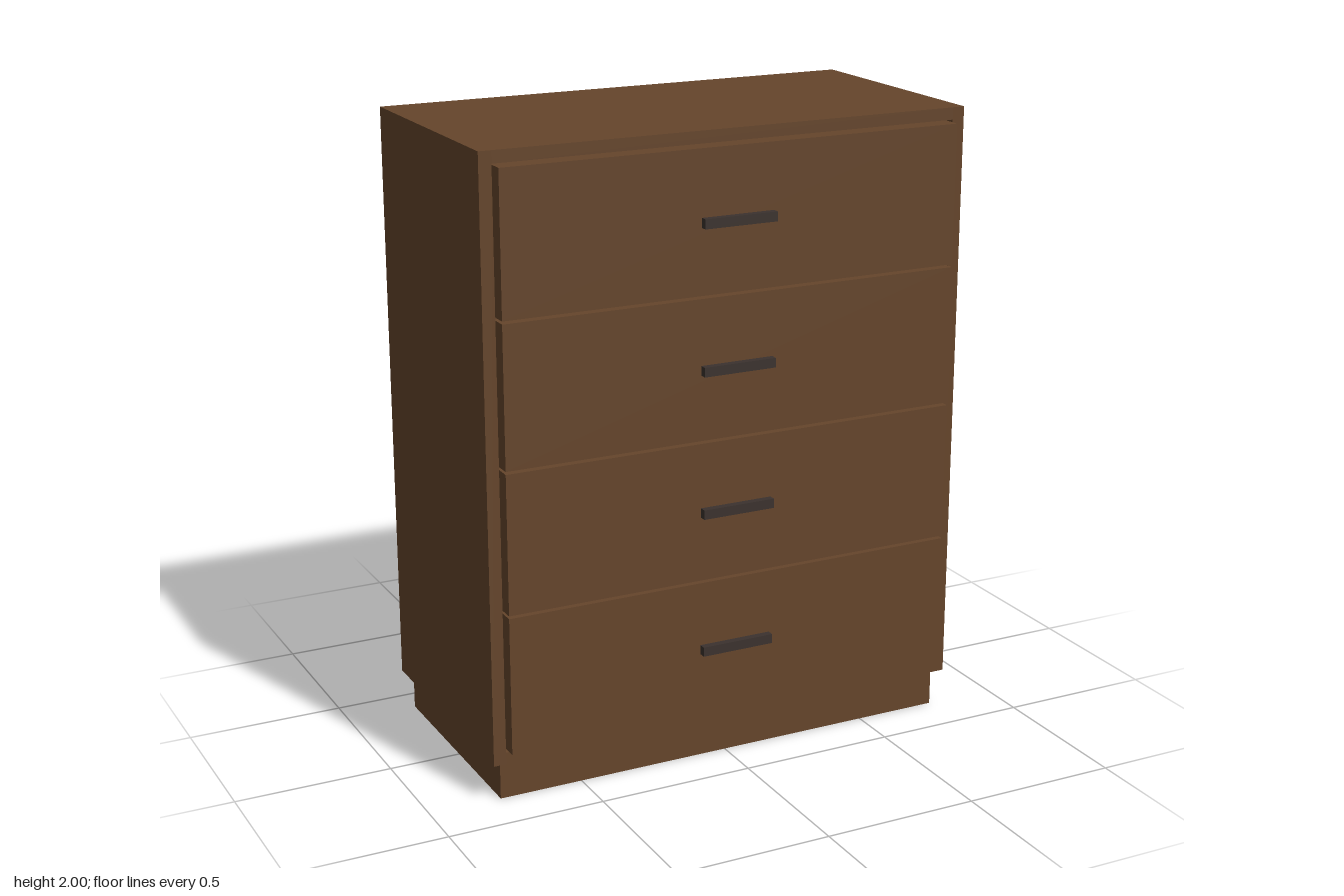
import * as THREE from 'three';

export function createModel() {
  const model = new THREE.Group();
  model.name = 'chestOfDrawers';
  const wood = new THREE.MeshStandardMaterial({ color: 0x65452b });
  wood.name = 'brownWood';
  const metal = new THREE.MeshStandardMaterial({ color: 0x3b322e });
  metal.name = 'darkHandle';

  // Box given by its lower and upper limits on each axis
  const box = (name, material, [x0, x1], [y0, y1], [z0, z1], parent = model) => {
    const mesh = new THREE.Mesh(new THREE.BoxGeometry(x1 - x0, y1 - y0, z1 - z0), material);
    mesh.position.set((x0 + x1) / 2, (y0 + y1) / 2, (z0 + z1) / 2);
    mesh.name = name;
    parent.add(mesh);
  };

  // Recessed plinth
  box('plinth', wood, [-0.77, 0.77], [0, 0.125], [-0.4, 0.343]);

  // Carcass panels around a shallow drawer opening
  const depth = [-0.427, 0.37];
  const carcass = new THREE.Group();
  carcass.name = 'carcass';
  model.add(carcass);
  box('leftSide', wood, [0.76, 0.8], [0.125, 2], depth, carcass);
  box('rightSide', wood, [-0.8, -0.76], [0.125, 2], depth, carcass);
  box('topPanel', wood, [-0.76, 0.76], [1.962, 2], depth, carcass);
  box('bottomPanel', wood, [-0.76, 0.76], [0.125, 0.163], depth, carcass);
  box('core', wood, [-0.76, 0.76], [0.163, 1.962], [-0.427, 0.34], carcass);

  // Four drawers with bar handles
  const bottom = 0.169, height = 0.44, pitch = 0.449;
  for (let i = 0; i < 4; i++) {
    const drawer = new THREE.Group();
    drawer.name = `drawer${i + 1}`;
    model.add(drawer);
    const y = bottom + i * pitch, mid = y + height / 2;
    box('drawerFront', wood, [-0.754, 0.754], [y, y + height], [0.34, 0.405], drawer);
    box('handle', metal, [-0.12, 0.12], [mid - 0.015, mid + 0.015], [0.405, 0.428], drawer);
  }
  return model;
}
